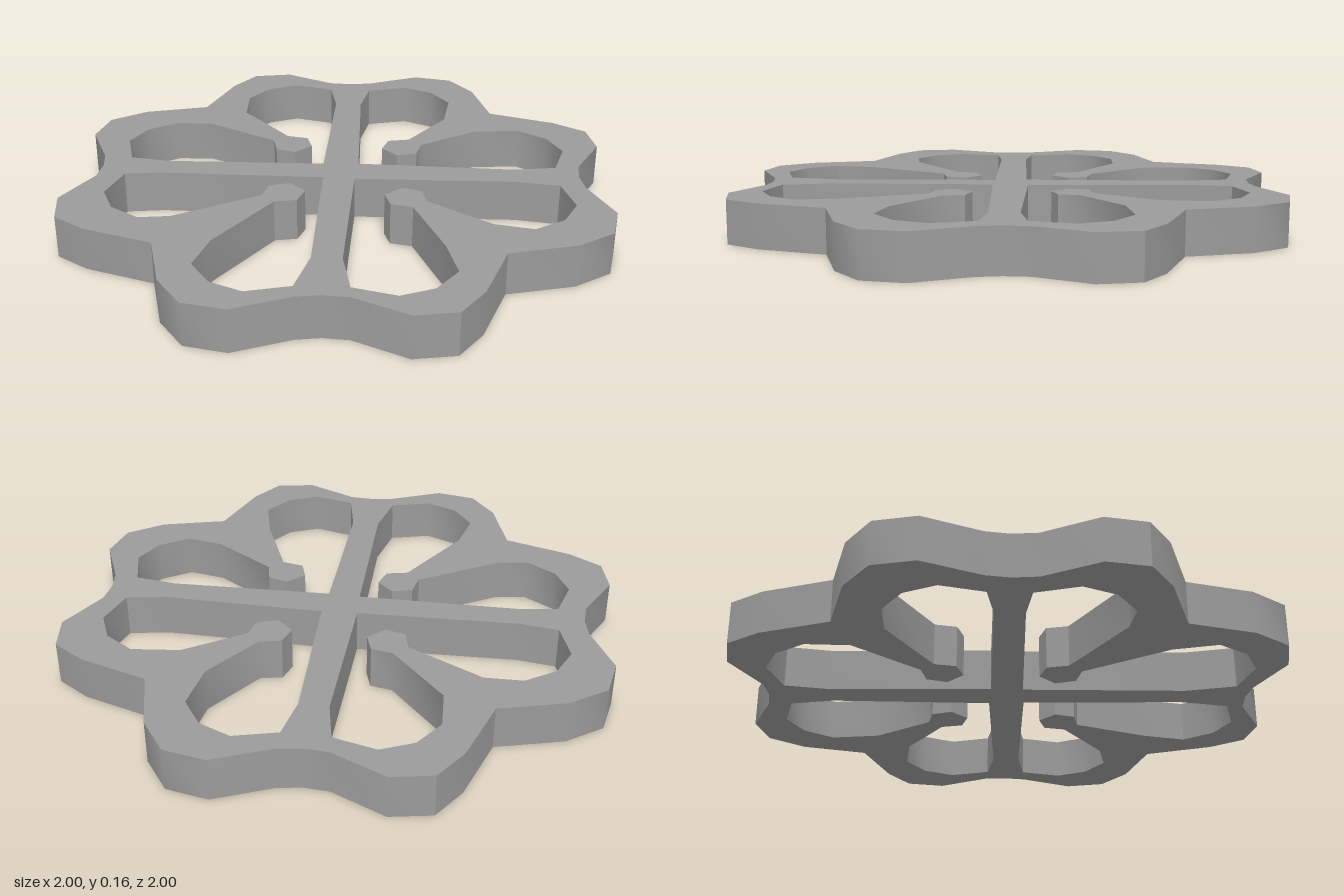
import * as THREE from 'three';
import { toCreasedNormals } from 'three/addons/utils/BufferGeometryUtils.js';

const HEIGHT = 0.16;
const CREASE = THREE.MathUtils.degToRad(44);

// quarter turns, clockwise seen from above
function turn([x, y], quarter) {
  for (let i = 0; i < quarter; i++) [x, y] = [y, -x];
  return new THREE.Vector2(x, y);
}

// a quarter of the scalloped rim: two half petals around a notch
const rimQuarter = [
  [0, 0.85], [0.24, 0.97], [0.385, 1], [0.51, 0.915], [0.58, 0.71],
  [0.64, 0.64], [0.71, 0.59], [0.915, 0.51], [1, 0.38], [0.975, 0.22],
];

// rounded end of an opening, and half of the knob at the tip of a tooth
const lobe = [[0.53, 0.645], [0.45, 0.785], [0.33, 0.83], [0.2, 0.805]];
const knob = [[0.035, 0.14], [0.08, 0.07], [0.043, 0]];

// the four hand-cut openings differ slightly: back, right, front, left
const openings = [
  { apex: 0.09, tip: 0.245, lean: 0.03, base: [0.09, 0.69], right: [0, 0.005], left: [-0.01, -0.017] },
  { apex: 0.1, tip: 0.265, lean: 0, base: [0.085, 0.66], right: [-0.003, -0.006], left: [0, 0.002] },
  { apex: 0.088, tip: 0.26, lean: -0.035, base: [0.12, 0.68], right: [0.01, 0.02], left: [0, -0.005] },
  { apex: 0.08, tip: 0.205, lean: 0, base: [0.12, 0.69], right: [-0.01, -0.022], left: [0.007, 0.027] },
];

// one side of an opening, from the crossbar round to the knob of the tooth
function openingSide(o, side, shift) {
  return [
    [0.435, 0.51],
    ...lobe.map(([x, y]) => [x + shift[0], y + shift[1]]),
    o.base,
    ...knob.map(([x, y]) => [x + side * o.lean, y + o.tip]),
  ].map(([x, y]) => [side * x, y]);
}

function openingPath(o, quarter) {
  const points = [
    [0, o.apex],
    ...openingSide(o, 1, o.right),
    ...openingSide(o, -1, o.left).reverse(),
  ];
  return new THREE.Path(points.map((p) => turn(p, quarter)));
}

export function createModel() {
  const group = new THREE.Group();
  group.name = 'petalledWheel';

  // rim, diagonal crossbars and inward teeth are one pierced plate
  const outline = [0, 1, 2, 3].flatMap((q) => rimQuarter.map((p) => turn(p, q)));
  const shape = new THREE.Shape(outline);
  shape.holes = openings.map(openingPath);

  const geometry = new THREE.ExtrudeGeometry(shape, { depth: HEIGHT, bevelEnabled: false });
  geometry.rotateX(-Math.PI / 2);

  // walls are softly rounded, with sharp rims and sharp petal joints
  const plate = new THREE.Mesh(
    toCreasedNormals(geometry, CREASE),
    new THREE.MeshStandardMaterial({ color: 0x9b9b9b }),
  );
  plate.name = 'piercedPlate';
  group.add(plate);
  return group;
}
